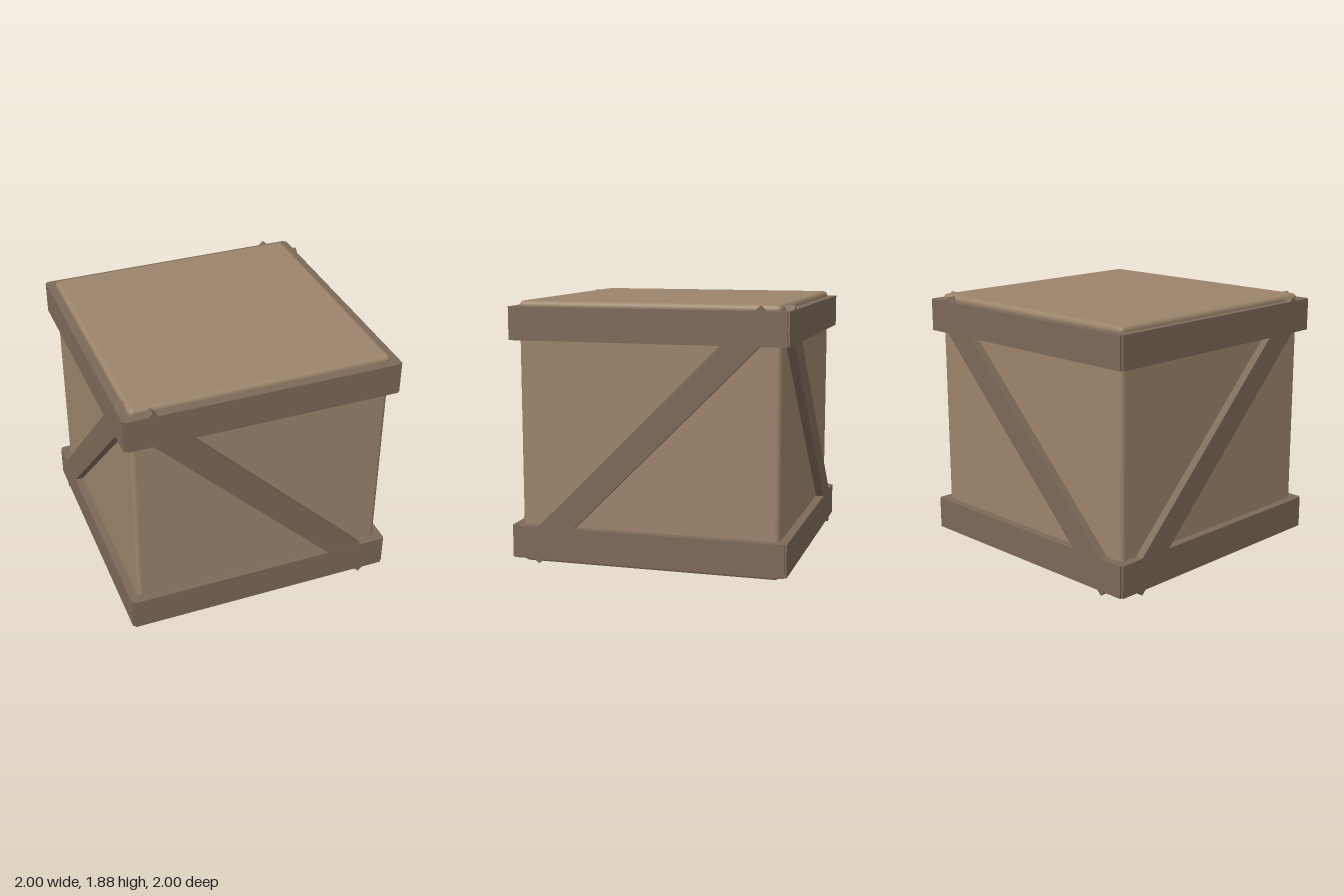
import * as THREE from 'three';
import { RoundedBoxGeometry } from 'three/addons/geometries/RoundedBoxGeometry.js';

const MID = 0.943;      // height of the crate's centre
const THICK = 0.075;    // plank thickness
const BAND_H = 0.235;   // height of the horizontal planks
const BAND_Y = 0.783;   // distance of the band centres from the middle

export function createModel() {
  const crate = new THREE.Group();
  crate.name = 'crate';
  const panelMat = new THREE.MeshStandardMaterial({ color: 0x9b846b });
  const plankMat = new THREE.MeshStandardMaterial({ color: 0x7b6957 });

  // Softly rounded inner box
  const body = new THREE.Mesh(new RoundedBoxGeometry(1.88, 1.88, 1.88, 2, 0.035), panelMat);
  body.name = 'body';
  body.position.y = MID;
  crate.add(body);

  const bandGeo = new THREE.BoxGeometry(1.97, BAND_H, THICK);
  const braceGeo = new THREE.BoxGeometry(2.45, 0.19, THICK);

  // Four framed sides; the brace tilt alternates so neighbours meet at the corners
  ['front', 'right', 'back', 'left'].forEach((name, i) => {
    const side = new THREE.Group();
    side.name = name + 'Frame';
    side.position.y = MID;
    side.rotation.y = i * Math.PI / 2;

    for (const s of [-1, 1]) {
      const band = new THREE.Mesh(bandGeo, plankMat);
      band.name = s > 0 ? 'topBand' : 'bottomBand';
      band.position.set(0, s * BAND_Y, 1 - THICK / 2);
      side.add(band);
    }

    // Diagonal plank whose corner tips poke past the bands
    const brace = new THREE.Mesh(braceGeo, plankMat);
    brace.name = 'diagonalBrace';
    brace.position.z = 0.9995 - THICK / 2;
    brace.rotation.z = (i % 2 ? 1 : -1) * Math.PI / 4;
    side.add(brace);

    crate.add(side);
  });
  return crate;
}
